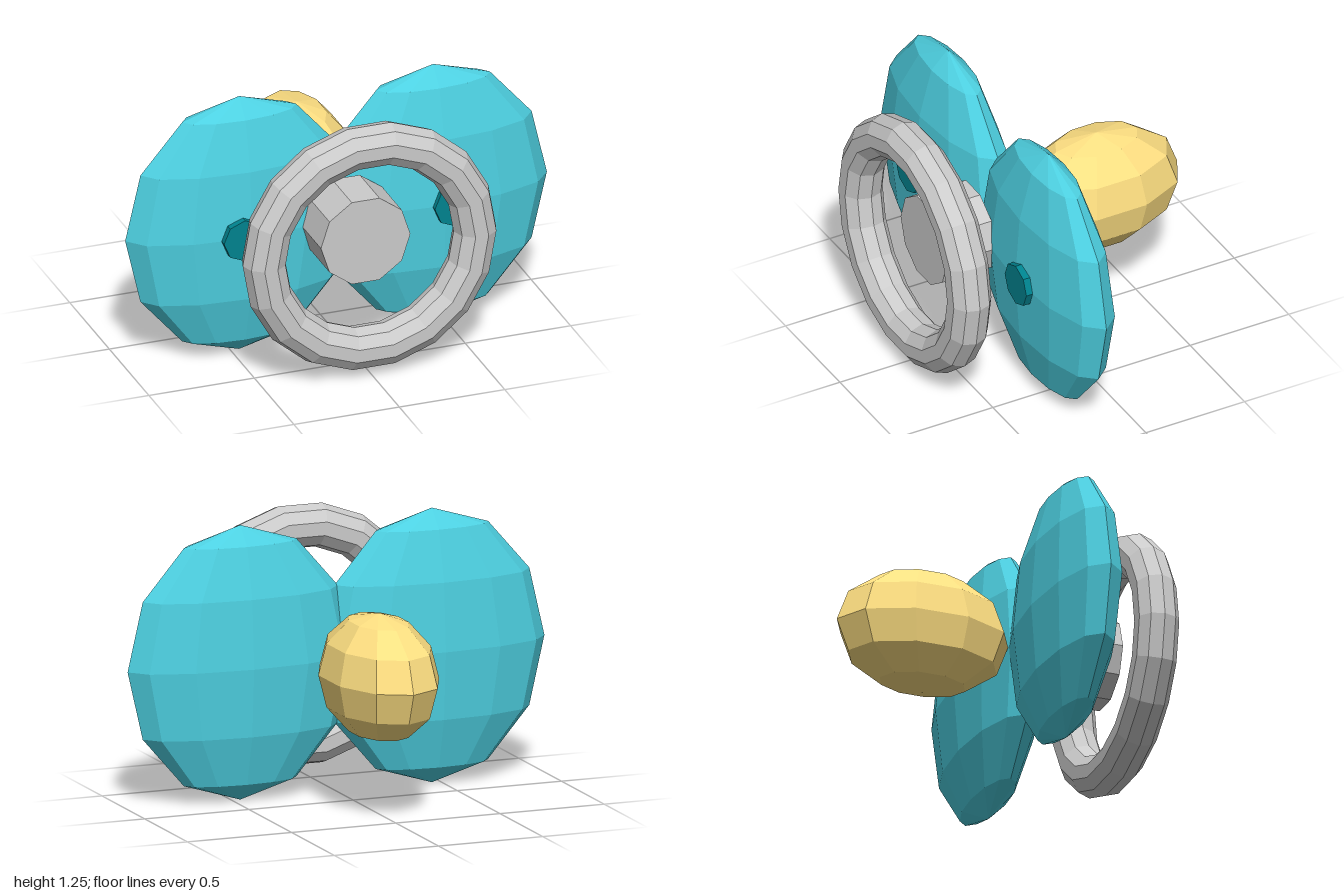
import * as THREE from 'three';

const MID = 0.627; // common height of all parts

export function createModel() {
  const model = new THREE.Group();
  const paint = (color) => new THREE.MeshStandardMaterial({ color, flatShading: true });
  const grey = paint(0xcccccc);
  const teal = paint(0x4dd0e1);
  const darkTeal = paint(0x00838f);
  const gold = paint(0xffe082);

  const add = (name, geometry, material, x, z) => {
    const mesh = new THREE.Mesh(geometry, material);
    mesh.name = name;
    mesh.position.set(x, MID, z);
    model.add(mesh);
  };

  // Faceted ellipsoid with its poles up and down
  const ellipsoid = (rx, ry, rz, sides, turn = 0) =>
    new THREE.SphereGeometry(1, sides, 6).rotateY(turn).scale(rx, ry, rz);

  // Short cylinder pointing forward, with corners on the x axis
  const disc = (radius, depth, sides) =>
    new THREE.CylinderGeometry(radius, radius, depth, sides, 1, false, Math.PI / 2).rotateX(Math.PI / 2);

  // Pair of flattened lobes, each with a small stud on its front
  for (const [side, s] of [['left', 1], ['right', -1]]) {
    add(side + 'Lobe', ellipsoid(0.54, 0.625, 0.165, 12), teal, s * 0.46, 0.2);
    add(side + 'Stud', disc(0.1, 0.08, 8), darkTeal, s * 0.5, 0.345);
  }

  // Front ring and the hub behind it
  add('frontRing', new THREE.TorusGeometry(0.5, 0.1, 10, 18), grey, 0, 0.62);
  add('hub', disc(0.212, 0.25, 10), grey, 0, 0.45);

  // Long rear body
  add('rearBody', ellipsoid(0.25, 0.29, 0.41, 10, Math.PI / 2), gold, 0, -0.3);

  return model;
}
